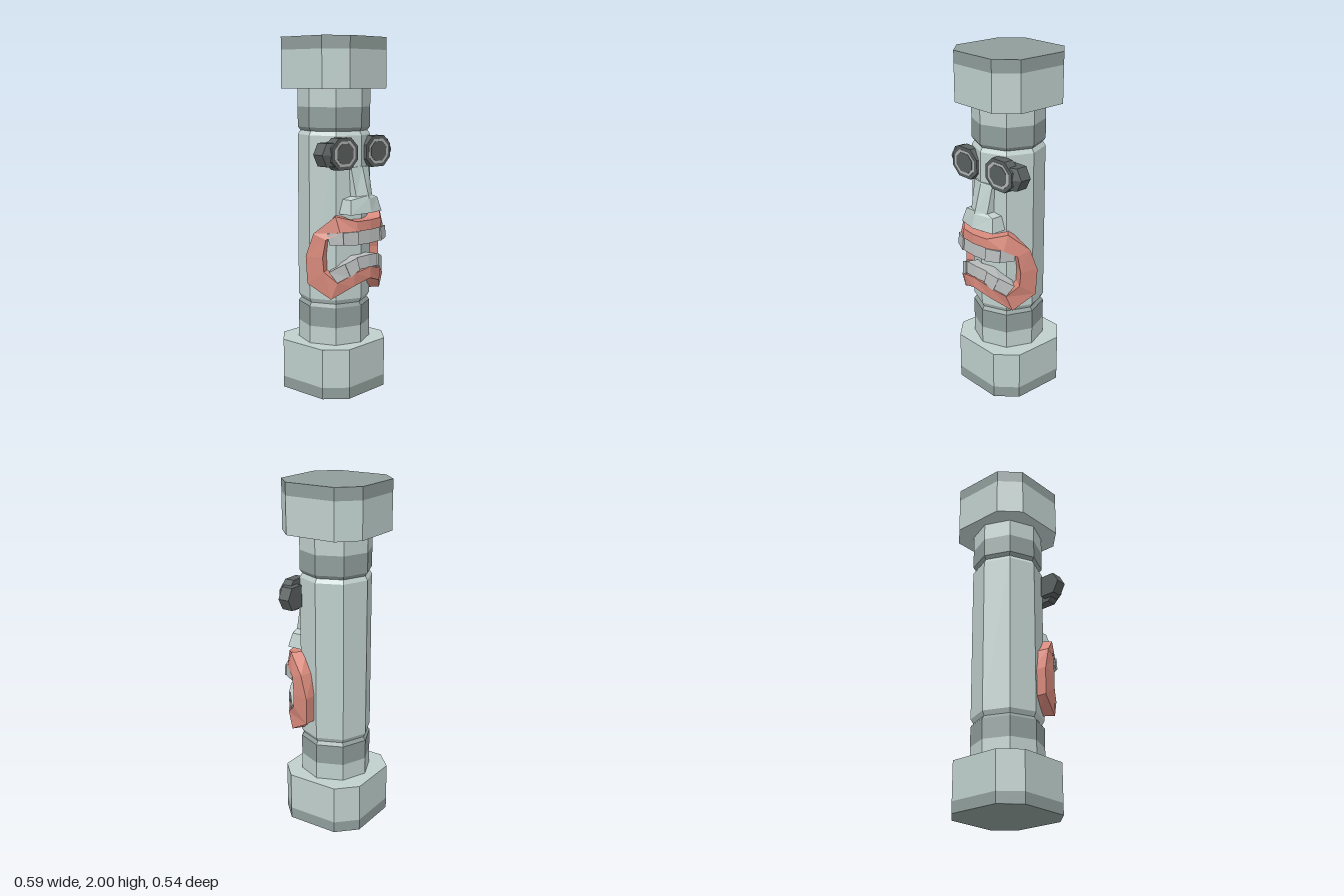
import * as THREE from 'three';

const STONE = 0xbfcfcc, BAND = 0x8f9d9a, DARK = 0x59605f, RIM = 0xb4b6b6, LIP = 0xd98a7c, TOOTH = 0xb9bcbc;

// Faceted skin over a list of equal-sized rings; capped ends or closed into a loop
function loft(name, color, rings, closed = false) {
  const pos = [];
  const tri = (...pts) => pts.forEach(p => pos.push(...p));
  const n = rings[0].length, last = rings.length - 1;
  for (let i = 0; i < rings.length - (closed ? 0 : 1); i++) {
    const a = rings[i], b = rings[(i + 1) % rings.length];
    for (let j = 0; j < n; j++) {
      const k = (j + 1) % n;
      tri(a[j], a[k], b[k]);
      tri(a[j], b[k], b[j]);
    }
  }
  if (!closed) {
    for (let j = 1; j < n - 1; j++) {
      tri(rings[0][0], rings[0][j + 1], rings[0][j]);
      tri(rings[last][0], rings[last][j], rings[last][j + 1]);
    }
  }
  const geo = new THREE.BufferGeometry();
  geo.setAttribute('position', new THREE.Float32BufferAttribute(pos, 3));
  geo.computeVertexNormals();
  const mesh = new THREE.Mesh(geo, new THREE.MeshStandardMaterial({ color, flatShading: true }));
  mesh.name = name;
  return mesh;
}

// Strip around the column: each station is [upper/outer point, lower/inner point], backed into the shaft
const sunk = ([x, y, z], r = 0.165) => {
  const k = r / Math.hypot(x, z);
  return [x * k, y, z * k];
};
const band = (name, color, stations, closed) =>
  loft(name, color, stations.map(([o, i]) => [o, i, sunk(i), sunk(o)]), closed);

const flip = ([x, y, z]) => [-x, y, z];

export function createModel() {
  const model = new THREE.Group();
  model.name = 'carvedColumn';

  // Octagonal shaft sections, [height, radius] from bottom to top
  const shaftRing = ([y, r]) => Array.from({ length: 8 }, (_, i) => {
    const a = i * Math.PI / 4;
    return [r * Math.cos(a) - 0.005, y, -r * Math.sin(a) - 0.007];
  });
  const shaft = (name, color, profile) => model.add(loft(name, color, profile.map(shaftRing)));
  shaft('lowerNeck', STONE, [[0.27, 0.205], [0.385, 0.205]]);
  shaft('lowerCollar', BAND, [[0.385, 0.205], [0.5, 0.205], [0.52, 0.19]]);
  shaft('shaft', STONE, [[0.52, 0.19], [0.545, 0.205], [1.465, 0.205], [1.488, 0.19]]);
  shaft('upperCollar', BAND, [[1.488, 0.19], [1.508, 0.205], [1.62, 0.205]]);
  shaft('upperNeck', STONE, [[1.62, 0.205], [1.73, 0.205]]);

  // Chamfered square blocks at both ends
  const blockRing = y => {
    const a = 0.259, b = 0.153;
    return [[a, b], [a, -b], [b, -a], [-b, -a], [-a, -b], [-a, b], [-b, a], [b, a]]
      .map(([x, z]) => [x - 0.005, y, z - 0.013]);
  };
  const block = (name, color, y0, y1) => model.add(loft(name, color, [blockRing(y0), blockRing(y1)]));
  block('baseFoot', BAND, 0, 0.065);
  block('baseBlock', STONE, 0.065, 0.285);
  block('topBlock', STONE, 1.72, 1.93);
  block('topRim', BAND, 1.93, 2);

  // Eyes: octagonal frame, pale rim, dark lens and a side knob
  const eyeRing = (s, k, z) => {
    const ring = [[0.105, -0.038], [0.105, 0.038], [0.05, 0.087], [-0.05, 0.087],
      [-0.105, 0.038], [-0.105, -0.038], [-0.05, -0.087], [0.05, -0.087]]
      .map(([x, y]) => [s * (0.142 + x * k), 1.37 + y * k, z]);
    return s > 0 ? ring : ring.reverse();
  };
  const knobRing = (s, shift, z) => {
    const ring = [[0.295, 1.37], [0.26, 1.432], [0.17, 1.432], [0.17, 1.305], [0.26, 1.305]]
      .map(([x, y]) => [s * (x - (x > 0.2 ? shift : 0)), y, z]);
    return s > 0 ? ring : ring.reverse();
  };
  for (const s of [1, -1]) {
    const eye = new THREE.Group();
    eye.name = s > 0 ? 'leftEye' : 'rightEye';
    eye.add(
      loft('eyeFrame', DARK, [eyeRing(s, 1, 0.14), eyeRing(s, 1, 0.198)]),
      loft('eyeRim', RIM, [eyeRing(s, 0.79, 0.19), eyeRing(s, 0.79, 0.2)]),
      loft('eyeLens', DARK, [eyeRing(s, 0.63, 0.19), eyeRing(s, 0.63, 0.202)]),
      loft('eyeKnob', DARK, [knobRing(s, 0, 0.104), knobRing(s, 0, 0.17), knobRing(s, 0.055, 0.197)]));
    model.add(eye);
  }

  // Nose: ridged wedge flaring into nostrils, [height, half width, side z, ridge z]
  const nose = [[1.29, 0.075, 0.182, 0.2], [1.13, 0.068, 0.215, 0.245], [1.115, 0.112, 0.215, 0.25], [1.035, 0.132, 0.233, 0.268]];
  model.add(loft('nose', STONE, nose.map(([y, w, zs, zf]) =>
    [[-w, y, 0.12], [w, y, 0.12], [w, y, zs], [0, y + 0.005, zf], [-w, y, zs]])));

  // Lips: closed frowning loop wrapped round the shaft, right half then mirrored
  const lipHalf = [
    [[0, 1.0, 0.262], [0, 0.945, 0.264]],
    [[0.1, 1.0, 0.248], [0.1, 0.945, 0.252]],
    [[0.19, 1.03, 0.17], [0.185, 0.94, 0.2]],
    [[0.25, 0.93, 0.06], [0.23, 0.9, 0.135]],
    [[0.264, 0.8, 0.015], [0.24, 0.8, 0.12]],
    [[0.257, 0.645, 0.02], [0.235, 0.72, 0.125]],
    [[0.21, 0.565, 0.155], [0.195, 0.66, 0.19]],
    [[0.11, 0.635, 0.235], [0.11, 0.71, 0.245]],
    [[0, 0.67, 0.262], [0, 0.735, 0.262]],
  ];
  const lipLoop = [...lipHalf, ...lipHalf.slice(1, -1).reverse().map(st => st.map(flip))];
  model.add(band('lips', LIP, lipLoop, true));

  // Teeth: each row runs from the centre outwards, alternate teeth set slightly back
  const rows = {
    upperTooth: [
      [[0, 0.943, 0.255], [0, 0.868, 0.262]],
      [[0.095, 0.943, 0.25], [0.095, 0.87, 0.257]],
      [[0.178, 0.943, 0.215], [0.178, 0.875, 0.22]],
      [[0.225, 0.935, 0.14], [0.218, 0.872, 0.15]],
    ],
    lowerTooth: [
      [[0, 0.8, 0.25], [0, 0.73, 0.258]],
      [[0.09, 0.795, 0.24], [0.08, 0.728, 0.25]],
      [[0.155, 0.765, 0.21], [0.132, 0.69, 0.23]],
      [[0.222, 0.72, 0.15], [0.185, 0.65, 0.19]],
    ],
  };
  for (const [name, row] of Object.entries(rows)) {
    for (let i = 0; i < row.length - 1; i++) {
      const k = i === 1 ? 1.02 : 0.99;
      const tooth = [row[i], row[i + 1]].map(st => st.map(([x, y, z]) => [x * k, y, z * k]));
      model.add(band(name, TOOTH, tooth));
      model.add(band(name, TOOTH, tooth.map(st => st.map(flip)).reverse()));
    }
  }
  return model;
}
